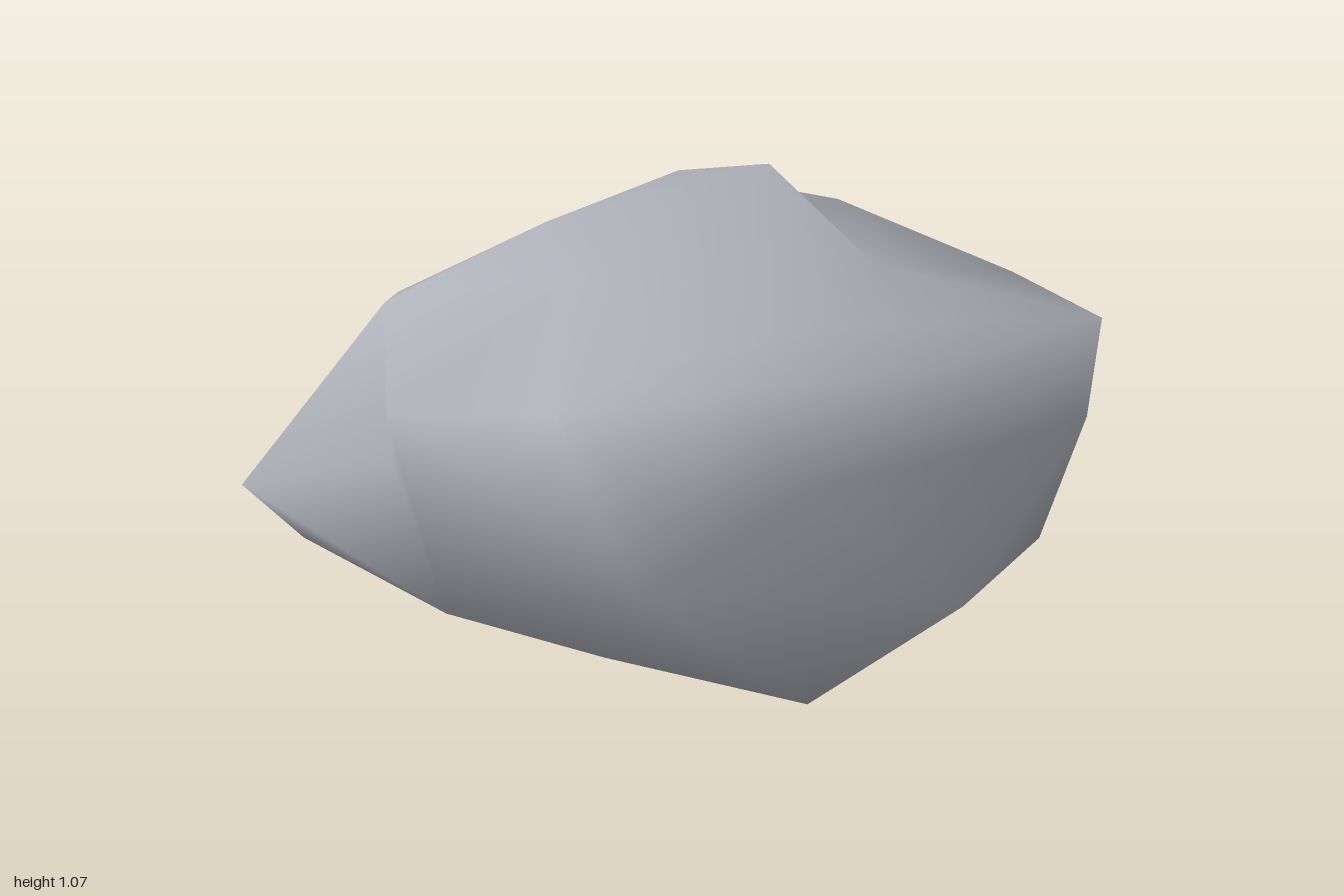
import * as THREE from 'three';
import { mergeVertices } from 'three/addons/utils/BufferGeometryUtils.js';
import { ConvexGeometry } from 'three/addons/geometries/ConvexGeometry.js';

// Loose rings of [x, y, z] corners, from the crest down to the foot
const crest = [
  [0.14, 1.07, 0.04], [-0.3, 0.945, -0.15], [0.12, 0.96, -0.39], [-0.69, 0.85, -0.04],
  [-0.3, 0.9, 0.06], [0.52, 0.86, -0.33], [0.43, 0.8, 0.01], [0.28, 0.89, -0.2],
];
const shoulder = [
  [-0.78, 0.74, 0.29], [-0.5, 0.75, 0.45], [-0.2, 0.77, 0.52], [0.25, 0.75, 0.52], [0.78, 0.74, 0.39],
  [0.89, 0.69, -0.1], [0.25, 0.8, -0.63], [-0.1, 0.8, -0.55], [-0.57, 0.75, -0.4],
  [0.15, 0.8, 0.34], [-0.2, 0.8, 0.34],
];
const waist = [
  [-1, 0.48, -0.1], [-0.74, 0.58, 0.14], [-0.3, 0.55, 0.57], [-0.05, 0.59, 0.615], [0.42, 0.55, 0.52],
  [0.78, 0.5, 0.37], [1, 0.41, 0.07], [0.97, 0.41, -0.17], [0.6, 0.5, -0.42], [0.2, 0.5, -0.6],
  [-0.3, 0.5, -0.5], [-0.65, 0.5, -0.34],
];
const underside = [
  [-0.87, 0.29, -0.19], [-0.68, 0.28, 0.25], [-0.43, 0.24, 0.48], [-0.35, 0.35, 0.46], [0.3, 0.26, 0.63],
  [0.7, 0.2, 0.34], [0.64, 0.36, -0.38], [0.2, 0.32, -0.55], [-0.4, 0.3, -0.42],
];
const foot = [
  [0.02, 0.02, 0.49], [-0.08, 0, 0], [0.3, 0.15, -0.45], [0.11, 0.12, -0.45],
  [-0.37, 0.21, -0.05], [-0.3, 0.2, -0.3], [0.18, 0.06, -0.13],
];

// Skin the corners: hull their directions on a sphere, then pull each back to its real place
function skin(corners) {
  const points = corners.map((c) => new THREE.Vector3(...c));
  const directions = points.map((p) =>
    new THREE.Vector3(p.x, (p.y - 0.5) * 1.6, p.z * 1.4).normalize());
  const hull = new ConvexGeometry(directions);
  const pos = hull.attributes.position;
  const v = new THREE.Vector3();
  for (let i = 0; i < pos.count; i++) {
    v.fromBufferAttribute(pos, i);
    let best = 0;
    directions.forEach((d, k) => {
      if (d.distanceToSquared(v) < directions[best].distanceToSquared(v)) best = k;
    });
    pos.setXYZ(i, ...points[best].toArray());
  }
  // Shared corners give smooth normals
  hull.deleteAttribute('normal');
  const smooth = mergeVertices(hull);
  smooth.computeVertexNormals();
  return smooth;
}

export function createModel() {
  const group = new THREE.Group();
  group.name = 'boulder';
  const stone = new THREE.MeshStandardMaterial({ color: 0xaeb1b9 });
  stone.name = 'stone grey';
  const rock = new THREE.Mesh(skin([...crest, ...shoulder, ...waist, ...underside, ...foot]), stone);
  rock.name = 'rock';
  group.add(rock);
  return group;
}
